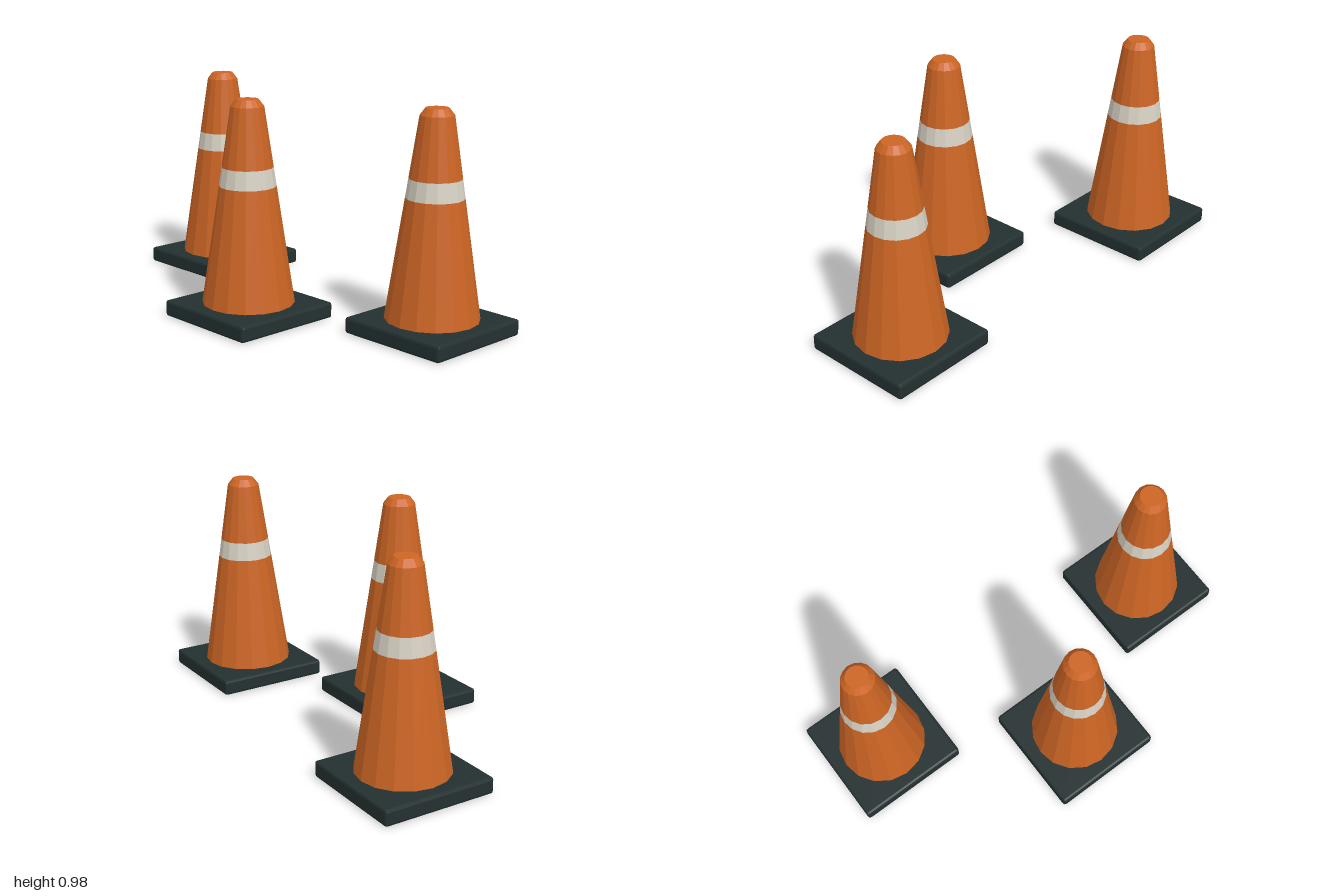
import * as THREE from 'three';
import { RoundedBoxGeometry } from 'three/addons/geometries/RoundedBoxGeometry.js';

const SIDES = 16;
const BASE_TOP = 0.073, SHOULDER = 0.945, TOP = 0.975;

// Radius of the tapered body at a given height
const radiusAt = (y) => THREE.MathUtils.mapLinear(y, BASE_TOP, SHOULDER, 0.205, 0.073);

// Faceted normals for the low-poly look
function faceted(geometry) {
  const flat = geometry.index ? geometry.toNonIndexed() : geometry;
  flat.computeVertexNormals();
  return flat;
}

// Open ring of facets between two heights
function section(y0, y1, r0 = radiusAt(y0), r1 = radiusAt(y1)) {
  const g = new THREE.CylinderGeometry(r1, r0, y1 - y0, SIDES, 1, true);
  g.translate(0, (y0 + y1) / 2, 0);
  return faceted(g);
}

export function createModel() {
  const orange = new THREE.MeshStandardMaterial({ name: 'orange plastic', color: 0xcc6524 });
  const white = new THREE.MeshStandardMaterial({ name: 'reflective white', color: 0xd8d2c4 });
  const rubber = new THREE.MeshStandardMaterial({ name: 'dark rubber', color: 0x243030 });

  // Square foot with small chamfers
  const foot = faceted(new RoundedBoxGeometry(0.525, BASE_TOP, 0.525, 1, 0.012));
  foot.translate(0, BASE_TOP / 2, 0);

  // Closed top disc
  const disc = new THREE.CircleGeometry(0.05, SIDES);
  disc.rotateX(-Math.PI / 2);
  disc.translate(0, TOP, 0);

  const parts = [
    ['foot', foot, rubber],
    ['lowerBody', section(BASE_TOP - 0.005, 0.597), orange],
    ['stripe', section(0.597, 0.68), white],
    ['upperBody', section(0.68, SHOULDER), orange],
    ['shoulder', section(SHOULDER, TOP, radiusAt(SHOULDER), 0.05), orange],
    ['topCap', disc, orange],
  ];

  // Three identical cones, set out on the ground
  const model = new THREE.Group();
  model.name = 'trafficCones';
  const places = { rightCone: [-0.738, -0.253], middleCone: [0.028, 0.25], leftCone: [0.737, -0.165] };
  for (const [name, [x, z]] of Object.entries(places)) {
    const cone = new THREE.Group();
    cone.name = name;
    cone.position.set(x, 0, z);
    for (const [partName, geometry, material] of parts) {
      const mesh = new THREE.Mesh(geometry, material);
      mesh.name = partName;
      cone.add(mesh);
    }
    model.add(cone);
  }
  return model;
}
